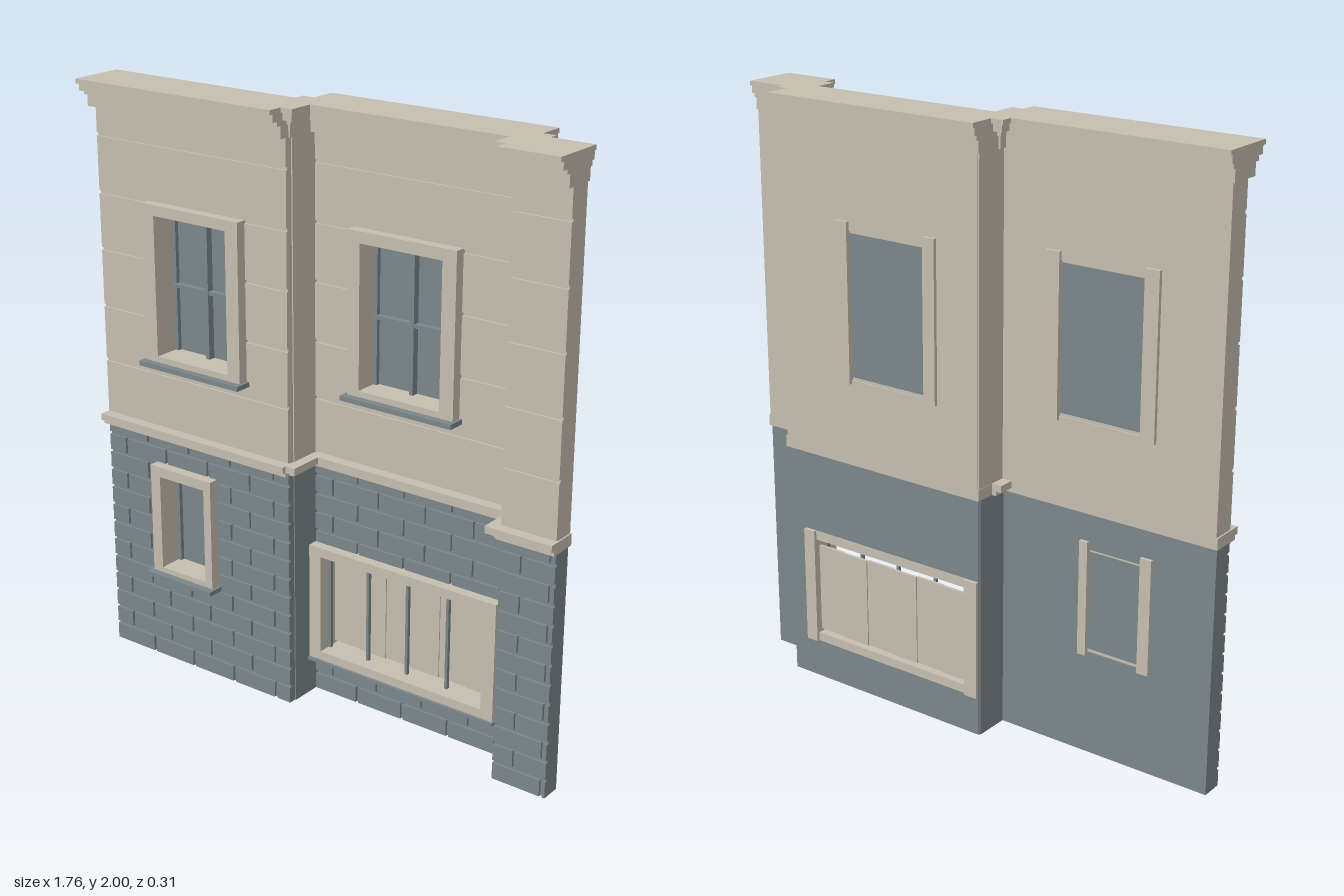
import * as THREE from 'three';
import { mergeGeometries } from 'three/addons/utils/BufferGeometryUtils.js';

const stone = new THREE.MeshStandardMaterial({ color: 0xc6bfb0 });
stone.name = 'pale stone';
const slate = new THREE.MeshStandardMaterial({ color: 0x7c868a });
slate.name = 'slate grey';

// Box given by its limits
function boxGeo(x0, x1, y0, y1, z0, z1) {
  const g = new THREE.BoxGeometry(x1 - x0, y1 - y0, z1 - z0);
  g.translate((x0 + x1) / 2, (y0 + y1) / 2, (z0 + z1) / 2);
  return g;
}

function add(parent, name, geo, mat) {
  const m = new THREE.Mesh(Array.isArray(geo) ? mergeGeometries(geo) : geo, mat);
  m.name = name;
  parent.add(m);
}

// Rectangle [x0, x1, y0, y1] minus a hole, as up to four rectangles
function subtract([x0, x1, y0, y1], h) {
  if (!h || h[0] >= x1 || h[1] <= x0 || h[2] >= y1 || h[3] <= y0) return [[x0, x1, y0, y1]];
  const a = Math.max(y0, h[2]), b = Math.min(y1, h[3]);
  return [[x0, x1, y0, a], [x0, x1, b, y1], [x0, h[0], a, b], [h[1], x1, a, b]]
    .filter((r) => r[1] - r[0] > 0.002 && r[3] - r[2] > 0.002);
}

// Plain wall slab with an optional rectangular opening
function wallGeo(x0, x1, y0, y1, z0, z1, h) {
  const rect = (P, a, b, c, d) => new P().moveTo(a, c).lineTo(b, c).lineTo(b, d).lineTo(a, d).closePath();
  const s = rect(THREE.Shape, x0, x1, y0, y1);
  if (h) s.holes.push(rect(THREE.Path, ...h));
  return new THREE.ExtrudeGeometry(s, { depth: z1 - z0, bevelEnabled: false }).translate(0, 0, z0);
}

// Running-bond bricks standing proud of the lower wall
function brickGeos(x0, x1, z0, z1, hole) {
  const out = [], pitch = 0.18, course = 0.0655, joint = 0.01, top = 0.82;
  for (let row = 0, y = 0; y < top; row++, y += course) {
    const y1 = Math.min(y + course - joint, top);
    for (let x = x0 - (row % 2) * pitch * 0.55; x < x1; x += pitch) {
      const a = Math.max(x, x0), b = Math.min(x + pitch - joint, x1);
      if (b - a < 0.01) continue;
      for (const r of subtract([a, b, y, y1], hole)) out.push(boxGeo(...r, z0, z1));
    }
  }
  return out;
}

// Smooth stone courses with thin grooves between them
function courseGeos(x0, x1, z0, z1, hole) {
  const cuts = [0.855, 1.045, 1.235, 1.43, 1.62, 1.81, 1.91], out = [];
  for (let i = 0; i + 1 < cuts.length; i++)
    for (const r of subtract([x0, x1, cuts[i] + 0.005, cuts[i + 1] - 0.005], hole)) out.push(boxGeo(...r, z0, z1));
  return out;
}

const grow = (r, d) => r && [r[0] - d, r[1] + d, r[2] - d, r[3] + d];

// Surround: outer and inner rectangles; b and f are the wall's back and front
function surround(parent, o, i, b, f, headBack) {
  const z = f + 0.035;
  add(parent, 'windowSurround', [
    boxGeo(o[0], i[0], o[2], o[3], b - 0.012, z),
    boxGeo(i[1], o[1], o[2], o[3], b - 0.012, z),
    boxGeo(i[0], i[1], i[3], o[3], b + headBack, z),
    boxGeo(i[0], i[1], o[2], i[2], b + headBack, z),
  ], stone);
}

function glazedWindow(parent, o, i, b, f, mullions) {
  const g = new THREE.Group();
  g.name = 'window';
  parent.add(g);
  surround(g, o, i, b, f, 0.004);
  add(g, 'sill', boxGeo(o[0] - 0.01, o[1] + 0.01, o[2] - 0.016, o[2], f - 0.01, f + 0.06), slate);
  add(g, 'glass', boxGeo(...i, b + 0.006, b + 0.014), slate);
  const z0 = b + 0.014, z1 = b + 0.028;
  const bars = [boxGeo(i[0], i[0] + 0.013, i[2], i[3], z0, z1), boxGeo(i[1] - 0.008, i[1], i[2], i[3], z0, z1)];
  if (mullions) {
    const cx = (i[0] + i[1]) / 2, cy = (i[2] + i[3]) / 2 - 0.012;
    bars.push(boxGeo(cx - 0.007, cx + 0.007, i[2], i[3], z0, z1 + 0.01));
    bars.push(boxGeo(i[0], i[1], cy - 0.006, cy + 0.006, z0, z1 + 0.008));
  }
  add(g, 'sashBars', bars, slate);
}

// Wide opening with upright bars in front of shutter panels
function barredWindow(parent, o, i, b, f) {
  const g = new THREE.Group();
  g.name = 'barredWindow';
  parent.add(g);
  surround(g, o, i, b, f, -0.002);
  add(g, 'sill', boxGeo(o[0], o[1] + 0.005, o[2] - 0.01, o[2], f - 0.01, f + 0.045), slate);
  const bars = [], panels = [];
  for (let k = 0; k < 5; k++) {
    const x = i[0] + 0.005 + k * (i[1] - i[0] - 0.01) / 4;
    bars.push(boxGeo(x - 0.005, x + 0.005, i[2], i[3], f - 0.02, f - 0.008));
  }
  const w = (i[1] - i[0]) / 6;
  for (let k = 0; k < 6; k++) {
    const z = b + 0.008 + (k % 2) * 0.004;
    panels.push(boxGeo(i[0] + k * w, i[0] + (k + 1) * w, i[2] + 0.01, i[3] - 0.026, z, z + 0.01));
  }
  add(g, 'windowBars', bars, slate);
  add(g, 'shutterPanels', panels, stone);
}

export function createModel() {
  const model = new THREE.Group();
  model.name = 'townhouseFacade';

  // Bays: x limits, back and front of the wall, window rectangles
  const bays = [
    { name: 'leftBay', x: [-0.875, -0.1], b: 0.003, f: 0.076,
      up: [[-0.66, -0.265, 1.1, 1.625], [-0.61, -0.315, 1.12, 1.59]],
      low: [[-0.66, -0.4, 0.342, 0.727], [-0.62, -0.43, 0.36, 0.692]] },
    { name: 'recessedBay', x: [-0.1, 0.69], b: -0.122, f: -0.06,
      up: [[0.055, 0.45, 1.1, 1.63], [0.1, 0.4, 1.12, 1.592]],
      low: [[-0.099, 0.625, 0.135, 0.542], [-0.05, 0.58, 0.165, 0.51]], barred: true },
    { name: 'endPier', x: [0.685, 0.875], b: -0.006, f: 0.063 },
  ];
  // Returns joining the bays: centre x and z limits
  const returns = [[-0.1, -0.07, 0.105], [0.69, -0.07, 0.095]];

  // Mouldings: y limits, projection to front, back and along the returns
  const cornice = [
    [1.905, 1.945, 0.03, 0.002, 0.012], [1.945, 1.96, 0.045, 0.01, 0.02],
    [1.96, 1.985, 0.066, 0.02, 0.038], [1.985, 2, 0.08, 0.028, 0.048],
  ];
  const stringCourse = [[0.82, 0.835, 0.02, 0.001, 0.02], [0.835, 0.858, 0.034, 0.001, 0.04]];

  for (const bay of bays) {
    const g = new THREE.Group();
    g.name = bay.name;
    model.add(g);
    const [x0, x1] = bay.x, { b, f, up, low } = bay;
    const upBack = b - 0.007;
    add(g, 'lowerWall', wallGeo(x0, x1, 0, 0.82, b, f - 0.009, low && grow(low[1], 0.008)), slate);
    add(g, 'bricks', brickGeos(x0, x1, f - 0.01, f, low && low[0]), slate);
    add(g, 'upperWall', wallGeo(x0, x1, 0.82, 1.95, upBack, f - 0.007, up && grow(up[1], 0.008)), stone);
    add(g, 'stoneCourses', courseGeos(x0, x1, f - 0.008, f, up && up[0]), stone);
    if (up) glazedWindow(g, up[0], up[1], upBack, f, true);
    if (low && bay.barred) barredWindow(g, low[0], low[1], b, f);
    else if (low) glazedWindow(g, low[0], low[1], b, f, false);

    const mould = ([y0, y1, front, back]) =>
      boxGeo(x0 - 0.005, x1 + 0.005, y0, y1, upBack - back, f + front);
    add(g, 'cornice', cornice.map(mould), stone);
    add(g, 'stringCourse', stringCourse.map(mould), stone);
  }

  // Cross walls closing the steps, with their own mouldings
  for (const [x, z0, z1] of returns) {
    const g = new THREE.Group();
    g.name = 'returnWall';
    model.add(g);
    add(g, 'lowerReturn', boxGeo(x - 0.004, x + 0.004, 0, 0.82, -0.118, 0.05), slate);
    add(g, 'upperReturn', boxGeo(x - 0.004, x + 0.004, 0.82, 1.95, -0.125, 0.05), stone);
    add(g, 'returnCornice', cornice.map(([y0, y1, , , s]) =>
      boxGeo(x - s, x + s, y0, y1, z0 + (0.048 - s), z1 - (0.048 - s))), stone);
    add(g, 'returnStringCourse', stringCourse.map(([y0, y1, , , s]) =>
      boxGeo(x - s, x + s, y0, y1, -0.06, 0.055 + s)), stone);
  }
  return model;
}
